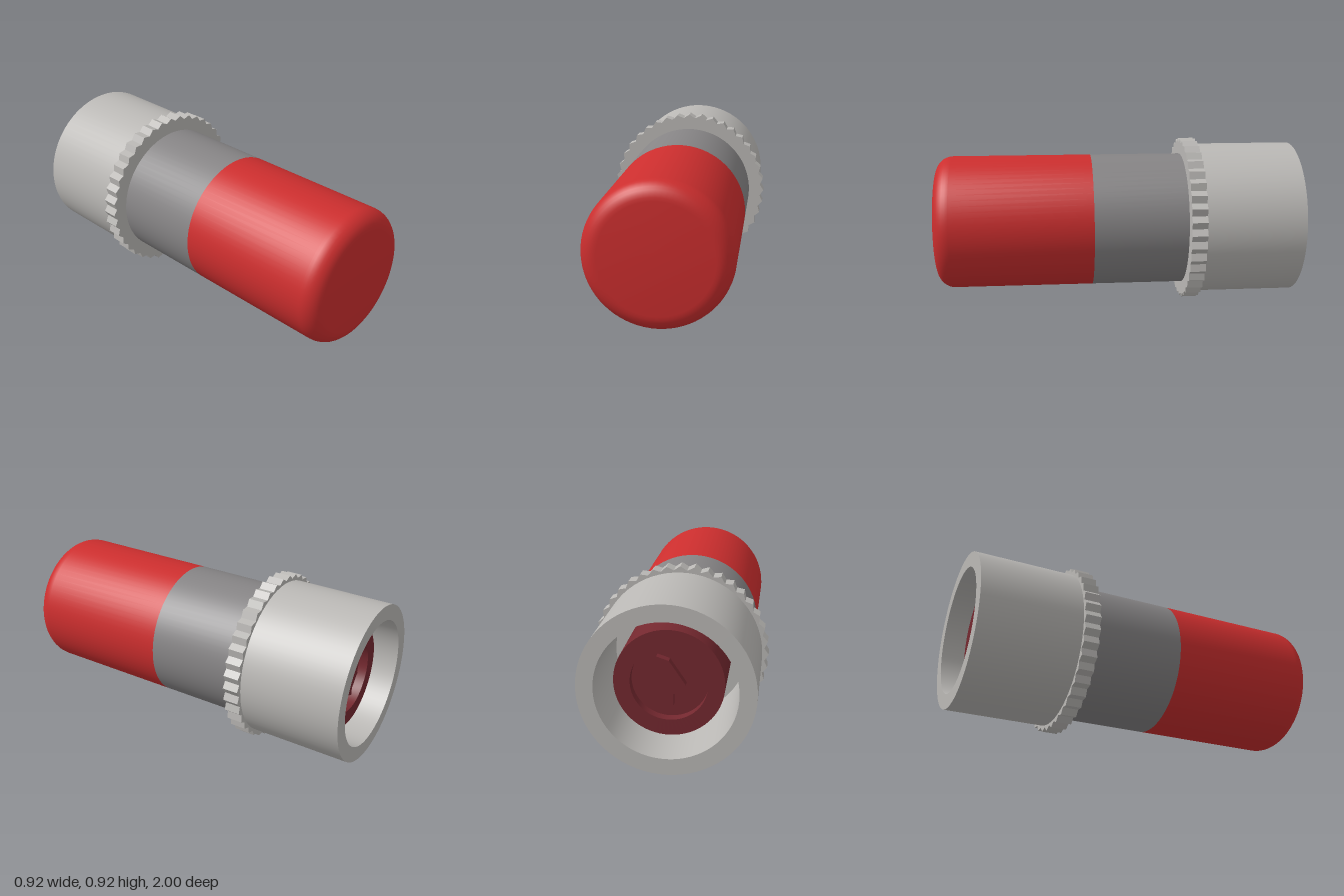
import * as THREE from 'three';
import { toCreasedNormals } from 'three/addons/utils/BufferGeometryUtils.js';

const CENTER_Y = 0.458;

function makeMaterial(name, color) {
  const m = new THREE.MeshStandardMaterial({ color });
  m.name = name;
  return m;
}

// Turns a [radius, z] profile (running back to front on the outside) around the z axis
function turned(profile) {
  const g = new THREE.LatheGeometry(profile.map(([r, z]) => new THREE.Vector2(r, z)), 72);
  g.rotateX(Math.PI / 2);
  return toCreasedNormals(g, 0.6);
}

export function createModel() {
  const red = makeMaterial('red', 0xcc2e2e);
  const darkRed = makeMaterial('dark red', 0x74282f);
  const lightGrey = makeMaterial('light grey', 0xbab8b5);
  const darkGrey = makeMaterial('dark grey', 0x868485);

  const group = new THREE.Group();
  const add = (name, geometry, material) => {
    const mesh = new THREE.Mesh(geometry, material);
    mesh.name = name;
    mesh.position.y = CENTER_Y;
    group.add(mesh);
  };

  // Red cap with a rounded front rim
  const cap = [[0.37, 0.14]];
  for (let i = 0; i <= 8; i++) {
    const a = (i / 8) * Math.PI / 2;
    cap.push([0.28 + 0.09 * Math.cos(a), 0.91 + 0.09 * Math.sin(a)]);
  }
  cap.push([0, 1]);
  add('frontCap', turned(cap), red);

  // Grey barrel between cap and ring
  add('barrel', turned([[0.37, -0.42], [0.37, 0.14]]), darkGrey);

  // Serrated grip ring
  const teeth = 40;
  const outline = [];
  for (let i = 0; i < teeth * 2; i++) {
    const a = Math.PI / 2 + (i * Math.PI) / teeth;
    const r = i % 2 ? 0.437 : 0.458;
    outline.push(new THREE.Vector2(r * Math.cos(a), r * Math.sin(a)));
  }
  const ring = new THREE.ExtrudeGeometry(new THREE.Shape(outline), { depth: 0.085, bevelEnabled: false });
  ring.translate(0, 0, -0.455);
  add('gripRing', ring, lightGrey);

  // Hollow rear sleeve, open at the back
  add('rearSleeve', turned([
    [0, -0.46], [0.342, -0.46], [0.342, -1], [0.425, -1], [0.425, -0.455],
  ]), lightGrey);

  // Plug inside the sleeve with a round recess in its back face
  add('plug', turned([
    [0, -0.84], [0.188, -0.84], [0.188, -0.89], [0.268, -0.89], [0.268, -0.46],
  ]), darkRed);

  // Raised key on the recess floor
  const key = new THREE.Shape([
    [0.06, 0.13], [0, 0.11], [-0.08, -0.01], [-0.02, -0.06], [-0.02, -0.12], [0.06, -0.08],
  ].map(([x, y]) => new THREE.Vector2(x, y)));
  const keyGeometry = new THREE.ExtrudeGeometry(key, { depth: 0.05, bevelEnabled: false });
  keyGeometry.translate(0, 0, -0.88);
  add('plugKey', keyGeometry, darkRed);

  return group;
}
